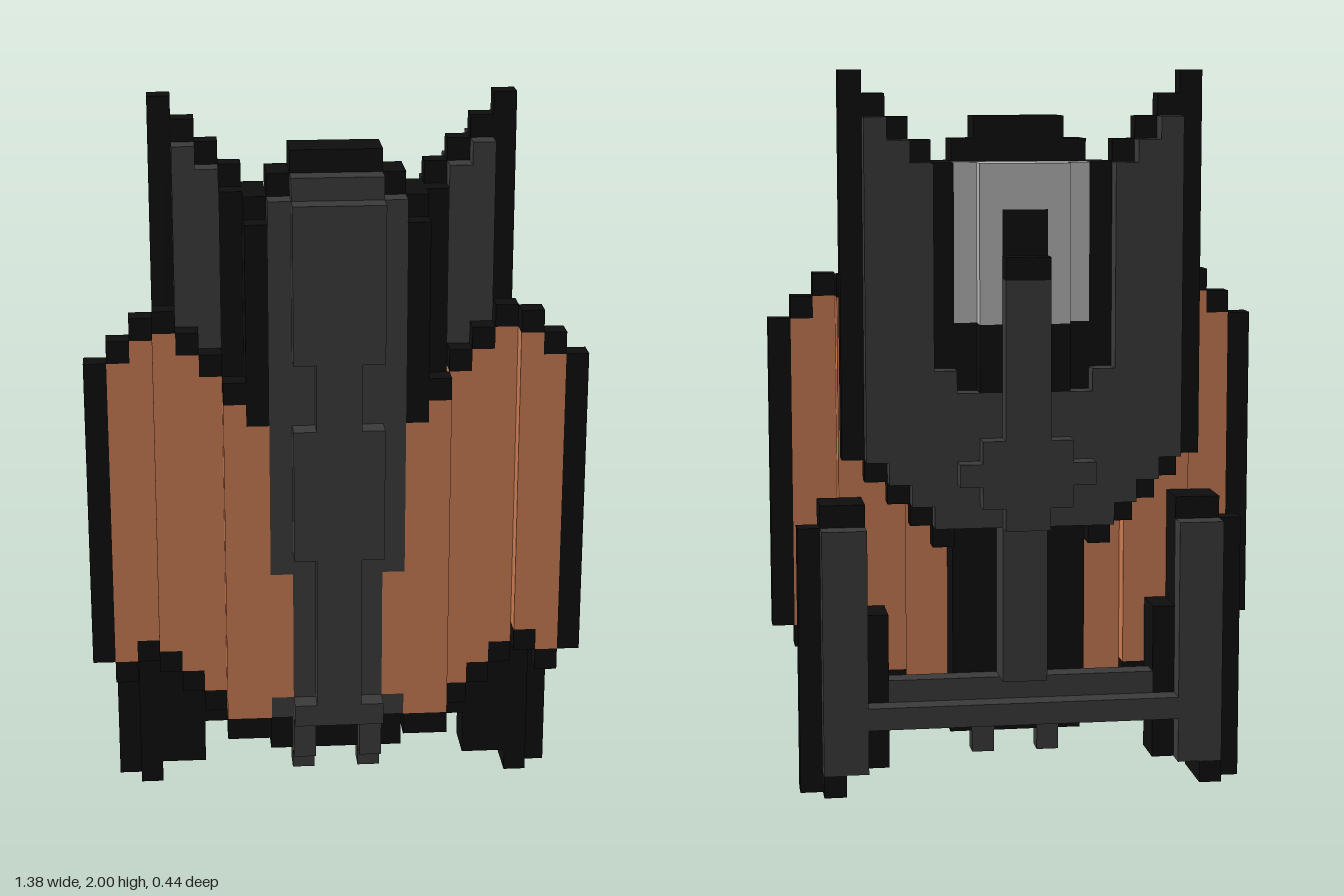
import * as THREE from 'three';

const U = 0.0625; // one block
const mat = (color) => new THREE.MeshStandardMaterial({ color, flatShading: true });

export function createModel() {
  const model = new THREE.Group();
  const black = mat(0x0e0e0e), grey = mat(0x3a3a3a), light = mat(0xb4b4b4), orange = mat(0xc87a52);

  // One box given by its edges in blocks; z layers run from -3.5 (back) to 3.5 (front)
  function box(name, m, x0, x1, y0, y1, z0, z1) {
    const mesh = new THREE.Mesh(new THREE.BoxGeometry((x1 - x0) * U, (y1 - y0) * U, (z1 - z0) * U), m);
    mesh.position.set((x0 + x1) / 2 * U, (y0 + y1) / 2 * U, (z0 + z1) / 2 * U);
    mesh.name = name;
    model.add(mesh);
  }
  const mid = (name, m, w, ...r) => box(name, m, -w, w, ...r);
  const pair = (name, m, x0, x1, ...r) => {
    box(name + 'Left', m, x0, x1, ...r);
    box(name + 'Right', m, -x1, -x0, ...r);
  };

  // Front ridge: half width, bottom, top
  for (const [w, y0, y1] of [[2, 4, 5], [1, 5, 12], [2, 12, 18], [1, 18, 21], [2, 21, 28]])
    mid('frontRidge', grey, w, y0, y1, 2.5, 3.5);

  // Body behind the ridge
  mid('bodyFront', grey, 2, 5, 29, 1.5, 2.5);
  mid('bodyFrontFoot', grey, 3, 4, 5, 1.5, 2.5);
  pair('bodyFrontSide', grey, 2, 3, 11, 28, 1.5, 2.5);
  pair('bodyShoulder', black, 3, 4, 19, 27, 1.5, 2.5);
  mid('bodyCore', black, 3, 3, 29, -0.5, 1.5);
  pair('bodyCoreSide', black, 3, 4, 17, 28, -0.5, 1.5);
  mid('topCap', black, 2, 29, 30, -0.5, 1.5);

  // Folded wing panels: column, layer, bottom, top of the coloured part
  const wing = [[2, 2, 5, 11], [3, 2, 4, 18], [4, 2, 4, 19], [5, 1, 5, 20], [6, 1, 6, 21],
    [7, 1, 7, 22], [8, 2, 8, 22], [9, 2, 7, 21]];
  for (const [c, z, y0, y1] of wing) {
    pair('wingPanel', orange, c, c + 1, y0, y1, z - 0.5, z + 0.5);
    if (c === 2) continue;
    pair('wingTopRim', black, c, c + 1, y1, y1 + 1, z - 0.5, z + 0.5);
    pair('wingBottomRim', black, c, c + 1, y0 - 1, y0, z - 0.5, z + 0.5);
  }
  pair('wingOuterEdge', black, 10, 11, 7, 21, 1.5, 2.5);

  // Upper fins: black blade with grey panels on both faces
  for (let c = 3; c < 8; c++) pair('finBlade', black, c, c + 1, c + 8, c + 25, -1.5, -0.5);
  for (const c of [4, 5, 6]) {
    pair('finFrontPanel', c === 4 ? black : grey, c, c + 1, c + 9, c + 24, -0.5, 0.5);
    pair('finBackPanel', grey, c, c + 1, c + 9, c + 24, -2.5, -1.5);
  }

  // Back plate with a stepped lower edge and central spine
  mid('backCore', black, 3, 12, 21, -1.5, -0.5);
  mid('backPlate', grey, 3, 12, 18, -2.5, -1.5);
  pair('backPlateSide', grey, 3, 4, 12, 19, -2.5, -1.5);
  mid('backSpine', grey, 1, 12, 23, -3.5, -2.5);
  mid('backSpineTop', black, 1, 23, 24, -3.5, -2.5);
  pair('backSpineStep', grey, 1, 2, 13, 16, -3.5, -2.5);
  pair('backSpineStepOuter', grey, 2, 3, 14, 15, -3.5, -2.5);
  mid('backColumn', black, 1, 18, 26, -2.5, -1.5);
  pair('backColumnSide', black, 1, 2, 18, 21, -2.5, -1.5);

  // Pale canister at the upper back
  mid('canister', light, 3, 21, 28, -1.5, -0.5);
  pair('canisterBack', light, 1, 2, 21, 28, -2.5, -1.5);
  mid('canisterTop', light, 1, 26, 28, -2.5, -1.5);

  // Lower spine and crossbar
  mid('lowerSpine', grey, 1, 5, 12, -2.5, -0.5);
  mid('crossbar', grey, 6, 3, 5, -1.5, -0.5);
  mid('crossbarFront', black, 6, 3, 4, -0.5, 0.5);
  mid('crossbarBack', grey, 7, 3, 4, -2.5, -1.5);

  // Nozzles under the body
  mid('bodyUnderside', black, 1, 2, 3, 0.5, 1.5);
  pair('nozzleFront', grey, 1, 2, 2, 4, 1.5, 2.5);
  pair('nozzle', grey, 1, 2, 1, 3, 0.5, 1.5);
  pair('nozzleGuard', black, 2, 3, 2, 4, 0.5, 1.5);

  // Tail pods
  pair('podInner', black, 6, 8, 1, 8, -1.5, 0.5);
  pair('podInnerTop', black, 7, 8, 8, 13, -1.5, 0.5);
  pair('podMain', black, 8, 9, 0, 13, -1.5, 0.5);
  pair('podOuter', black, 9, 10, 0, 12, -1.5, -0.5);
  pair('podBackPanel', grey, 7, 9, 1, 12, -2.5, -1.5);
  pair('podBackFoot', black, 8, 9, 0, 1, -2.5, -1.5);

  return model;
}
